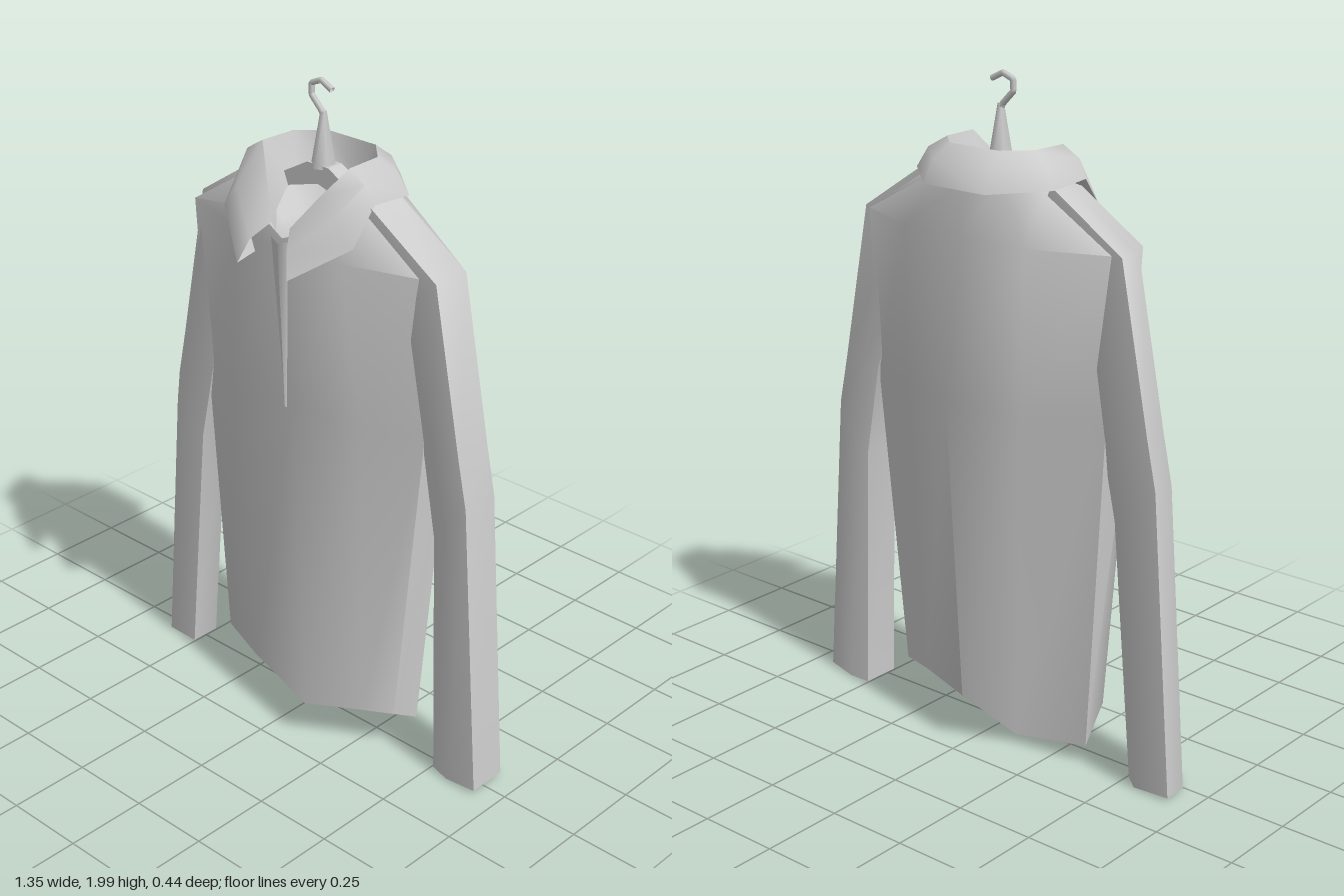
import * as THREE from 'three';
import { toCreasedNormals } from 'three/addons/utils/BufferGeometryUtils.js';

const material = new THREE.MeshStandardMaterial({ color: 0xcccccc, side: THREE.DoubleSide });

// Skin a stack of cross-sections; optional closing around and end caps.
function loft(name, rings, { closed = true, bottom = false, top = false, crease = 1.1 } = {}) {
  const n = rings[0].length;
  const points = rings.flat();
  const index = [];
  for (let r = 0; r < rings.length - 1; r++) {
    for (let i = 0; i < (closed ? n : n - 1); i++) {
      const a = r * n + i, b = r * n + (i + 1) % n;
      index.push(a, b, b + n, a, b + n, a + n);
    }
  }
  const cap = (r, flip) => {
    const centre = [0, 1, 2].map(k => rings[r].reduce((s, p) => s + p[k], 0) / n);
    const c = points.push(centre) - 1;
    for (let i = 0; i < n; i++) {
      const a = r * n + i, b = r * n + (i + 1) % n;
      index.push(c, flip ? b : a, flip ? a : b);
    }
  };
  if (bottom) cap(0, true);
  if (top) cap(rings.length - 1, false);
  const geometry = new THREE.BufferGeometry();
  geometry.setAttribute('position', new THREE.Float32BufferAttribute(points.flat(), 3));
  geometry.setIndex(index);
  const mesh = new THREE.Mesh(toCreasedNormals(geometry, crease), material);
  mesh.name = name;
  return mesh;
}

// Complete a ring from its left half (front centre to back centre).
const mirrored = half => [
  ...half,
  ...half.slice(1, -1).reverse().map(([x, y, z]) => [-x, y, z]),
];

function createTorso() {
  // Uneven hem with a tuck at the back right
  const hem = [
    [0.13, 0.13, 0.19], [0.28, 0.135, 0.105], [0.37, 0.14, 0.06], [0.39, 0.1, -0.02], [0.22, 0.15, -0.12],
    [0, 0.16, -0.205], [-0.12, 0.03, -0.1], [-0.36, 0.06, -0.07], [-0.33, 0.145, 0.05], [-0.15, 0.14, 0.115],
  ];
  const chest = [
    [0.02, 1.07, 0.125], [0.25, 1.07, 0.095], [0.44, 1.07, 0.035], [0.44, 1.07, -0.075], [0.25, 1.07, -0.15],
    [0.06, 1.07, -0.2], [-0.2, 1.07, -0.18], [-0.42, 1.07, -0.075], [-0.42, 1.07, 0.035], [-0.25, 1.07, 0.09],
  ];
  const shoulders = mirrored([
    [0, 1.54, 0.145], [0.2, 1.555, 0.12], [0.445, 1.555, 0.045],
    [0.445, 1.555, -0.095], [0.22, 1.555, -0.185], [0, 1.555, -0.2],
  ]);
  const neck = mirrored([
    [0, 1.58, 0.14], [0.12, 1.63, 0.12], [0.215, 1.7, 0.05],
    [0.215, 1.7, -0.09], [0.12, 1.72, -0.16], [0, 1.72, -0.17],
  ]);
  const lining = neck.map(([x, , z]) => [x * 0.5, 1.575, z * 0.6]);
  return loft('torso', [hem, chest, shoulders, neck, lining], { bottom: true, top: true });
}

// Sleeve running from the cuff over the shoulder to the neck.
// Each station gives outer x, y and inner x, y; the profile gives place across and depth.
function createSleeve(name, side, elbowInner, armpitInner, profile) {
  const stations = [
    [0.675, 0.012, 0.505, 0.002],
    [0.607, 0.92, elbowInner, 0.78],
    [0.575, 1.07, armpitInner, 1.07],
    [0.48, 1.555, 0.3, 1.4],
    [0.235, 1.715, 0.17, 1.55],
  ];
  const rings = stations.map(([xo, yo, xi, yi]) => profile.map(([t, d]) => [
    side * THREE.MathUtils.lerp(xi, xo, t),
    THREE.MathUtils.lerp(yi, yo, t),
    -0.02 + d * 0.075,
  ]));
  return loft(name, rings, { bottom: true, top: true });
}

// Folded collar: each section runs stand, crest, outer face, outer edge, underside.
function createCollar() {
  const half = [
    [[0.03, 1.585, 0.13], [0.035, 1.62, 0.145], [0.07, 1.575, 0.195], [0.095, 1.505, 0.22], [0.075, 1.53, 0.17]],
    [[0.07, 1.63, 0.09], [0.1, 1.715, 0.095], [0.185, 1.685, 0.13], [0.245, 1.61, 0.12], [0.2, 1.62, 0.095]],
    [[0.11, 1.66, 0.01], [0.165, 1.8, 0.045], [0.22, 1.765, 0.05], [0.25, 1.715, 0.04], [0.21, 1.7, 0.03]],
    [[0.12, 1.68, -0.05], [0.16, 1.8, -0.07], [0.215, 1.765, -0.09], [0.25, 1.705, -0.1], [0.2, 1.695, -0.08]],
    [[0.055, 1.7, -0.115], [0.09, 1.8, -0.14], [0.105, 1.76, -0.19], [0.11, 1.695, -0.225], [0.1, 1.695, -0.16]],
  ];
  const other = half.map(s => s.map(([x, y, z]) => [-x, y, z])).reverse();
  return loft('collar', [...half, ...other], { closed: false, crease: 1.2 });
}

// Narrow open placket tapering down the chest
function createPlacket() {
  return loft('placket', [
    [[-0.003, 1.06, 0.128], [0, 1.06, 0.134], [0.003, 1.06, 0.128]],
    [[-0.032, 1.58, 0.15], [0, 1.57, 0.158], [0.032, 1.58, 0.15]],
  ], { closed: false });
}

function createHanger() {
  const hanger = new THREE.Group();
  hanger.name = 'hanger';
  // Sloping arms and tapered neck
  const outline = new THREE.Shape([
    [-0.14, 1.66], [0, 1.7], [0.14, 1.66], [0.14, 1.7], [0.04, 1.755],
    [-0.04, 1.755], [-0.14, 1.7],
  ].map(p => new THREE.Vector2(...p)));
  const arms = new THREE.Mesh(
    new THREE.ExtrudeGeometry(outline, { depth: 0.055, bevelEnabled: false }).translate(0, 0, -0.057), material);
  arms.name = 'hangerArms';
  const neck = new THREE.Mesh(new THREE.CylinderGeometry(0.009, 0.036, 0.16, 6).translate(0, 1.825, -0.026), material);
  neck.name = 'hangerNeck';
  // Angular hook made of short straight runs
  const path = new THREE.CurvePath();
  const bends = [[0, 1.89], [-0.008, 1.905], [-0.045, 1.942], [-0.045, 1.975], [-0.008, 1.99], [0.032, 1.97]]
    .map(([x, y]) => new THREE.Vector3(x, y, -0.026));
  bends.slice(1).forEach((p, i) => path.add(new THREE.LineCurve3(bends[i], p)));
  const hook = new THREE.Mesh(new THREE.TubeGeometry(path, 30, 0.009, 6, false), material);
  hook.name = 'hangerHook';
  hanger.add(arms, neck, hook);
  return hanger;
}

export function createModel() {
  const model = new THREE.Group();
  model.name = 'hangingShirt';
  model.add(
    createTorso(),
    createSleeve('leftSleeve', 1, 0.482, 0.43, [[0, 0.7], [0.4, 1], [1, 0.95], [1, -0.7], [0.4, -1], [0, -0.9]]),
    createSleeve('rightSleeve', -1, 0.437, 0.375, [[0, -0.4], [0.3, -1], [1, -1], [1, 0], [0.62, 0.95], [0, 0.9]]),
    createCollar(),
    createPlacket(),
    createHanger(),
  );
  return model;
}
